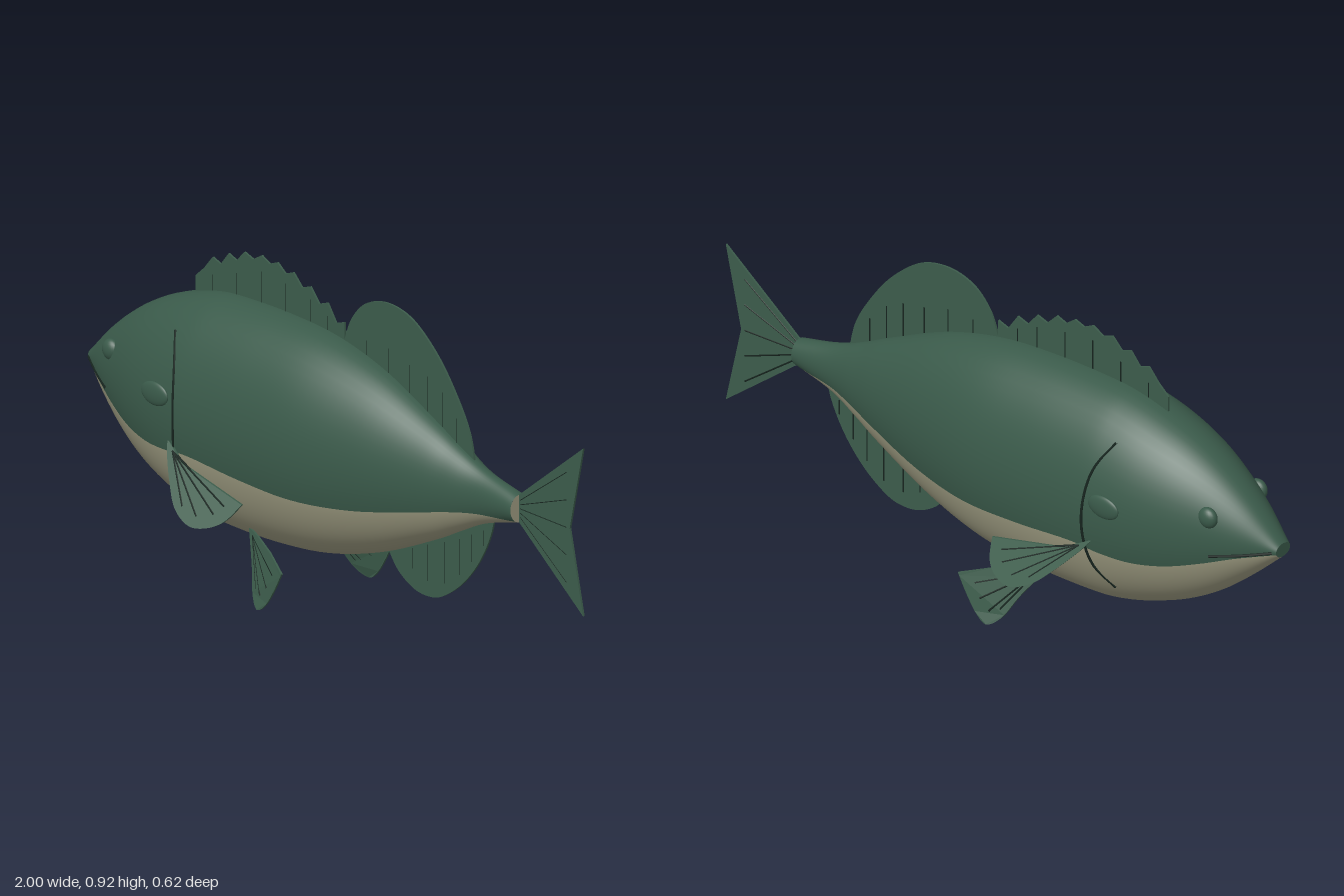
import * as THREE from 'three';

const mat = (name, color, side = THREE.FrontSide) => {
  const m = new THREE.MeshStandardMaterial({ color, side });
  m.name = name;
  return m;
};

// Body stations: x, top, bottom, half width, height of the colour border
const STATIONS = [
  [-1, 0.49, 0.45, 0.03, 0.465], [-0.9, 0.585, 0.36, 0.085, 0.44], [-0.8, 0.66, 0.28, 0.13, 0.405],
  [-0.7, 0.715, 0.22, 0.167, 0.375], [-0.6, 0.752, 0.178, 0.192, 0.36], [-0.5, 0.778, 0.147, 0.205, 0.362],
  [-0.4, 0.789, 0.132, 0.21, 0.37], [-0.2, 0.79, 0.13, 0.208, 0.352], [0, 0.773, 0.15, 0.195, 0.34],
  [0.2, 0.72, 0.205, 0.155, 0.352], [0.4, 0.63, 0.29, 0.1, 0.388], [0.5, 0.58, 0.34, 0.07, 0.408],
  [0.6, 0.538, 0.387, 0.045, 0.422], [0.735, 0.505, 0.425, 0.035, 0.43],
];
const outline = new THREE.CatmullRomCurve3(STATIONS.map(s => new THREE.Vector3(s[0], s[1], s[2])), false, 'catmullrom');
const girth = new THREE.CatmullRomCurve3(STATIONS.map(s => new THREE.Vector3(s[0], s[3], s[4])), false, 'catmullrom');
const RINGS = 78;
const SIDES = 64;
const rings = Array.from({ length: RINGS + 1 }, (_, i) => {
  const a = outline.getPoint(i / RINGS), b = girth.getPoint(i / RINGS);
  return { x: a.x, c: (a.y + a.z) / 2, h: (a.y - a.z) / 2, w: b.y, split: b.z };
});

// Depth of the body's side at a given x and y
function sideZ(x, y) {
  const i = Math.max(1, rings.findIndex(r => r.x >= x));
  const a = rings[i - 1], b = rings[i], t = (x - a.x) / (b.x - a.x);
  const mix = k => a[k] + (b[k] - a[k]) * t;
  const v = (y - mix('c')) / mix('h');
  return mix('w') * Math.sqrt(Math.max(0, 1 - v * v));
}

// Elliptical rings whose first half is the back and second half the belly
function bodyGeometry() {
  const pos = [], back = [], belly = [], half = SIDES / 2;
  for (const r of rings) {
    const s = Math.asin(THREE.MathUtils.clamp((r.split - r.c) / r.h, -0.95, 0.95));
    for (let j = 0; j < SIDES; j++) {
      const th = j < half ? s + (Math.PI - 2 * s) * j / half
        : Math.PI - s + (Math.PI + 2 * s) * (j - half) / half;
      pos.push(r.x, r.c + r.h * Math.sin(th), r.w * Math.cos(th));
    }
  }
  for (let i = 0; i < RINGS; i++) for (let j = 0; j < SIDES; j++) {
    const k = (j + 1) % SIDES, a = i * SIDES + j, b = i * SIDES + k;
    (j < half ? back : belly).push(a, a + SIDES, b, b, a + SIDES, b + SIDES);
  }
  const g = new THREE.BufferGeometry();
  g.setAttribute('position', new THREE.Float32BufferAttribute(pos, 3));
  g.setIndex([...back, ...belly]);
  g.addGroup(0, back.length, 0);
  g.addGroup(back.length, belly.length, 1);
  g.computeVertexNormals();
  return g;
}

const THICK = 0.006;
const flat = () => 0;

// Thin fin: sharp corners first, then an optional smooth rim; offset(x, y) tilts it in depth
function finGeometry(corners, rim, offset = flat) {
  const v = p => new THREE.Vector2(...p);
  const shape = new THREE.Shape(corners.map(v));
  if (rim) shape.splineThru(rim.map(v));
  const g = new THREE.ExtrudeGeometry(shape, { depth: THICK, bevelEnabled: false, curveSegments: 24 });
  g.translate(0, 0, -THICK / 2);
  const p = g.attributes.position;
  for (let i = 0; i < p.count; i++) p.setZ(i, p.getZ(i) + offset(p.getX(i), p.getY(i)));
  g.computeVertexNormals();
  return g;
}

function lineGeometry(points, offset, radius) {
  const curve = new THREE.CatmullRomCurve3(points.map(([x, y]) => new THREE.Vector3(x, y, offset(x, y))));
  return new THREE.TubeGeometry(curve, points.length > 2 ? 28 : 2, radius, 5);
}

export function createModel() {
  const green = mat('backGreen', 0x3a5a4a);
  const cream = mat('bellyCream', 0x9c9a80);
  const finGreen = mat('finGreen', 0x3c5c4b, THREE.DoubleSide);
  const dark = mat('darkLines', 0x17251f);
  const model = new THREE.Group();
  model.name = 'fish';
  const add = (name, geometry, material, parent = model) => {
    const m = new THREE.Mesh(geometry, material);
    m.name = name;
    parent.add(m);
    return m;
  };

  // Body with closed ends
  add('body', bodyGeometry(), [green, cream]);
  for (const [name, r, dir, m] of [['snoutTip', rings[0], -1, green], ['tailStump', rings[RINGS], 1, cream]]) {
    const cap = add(name, new THREE.CircleGeometry(1, 32), m);
    cap.scale.set(r.w, r.h, 1);
    cap.rotation.y = dir * Math.PI / 2;
    cap.position.set(r.x, r.c, 0);
  }

  // Fin plus its rays, each ray a pair of end points
  function addFin(name, corners, rim, rays, offset = flat) {
    const group = new THREE.Group();
    group.name = name;
    model.add(group);
    add(name + 'Web', finGeometry(corners, rim, offset), finGreen, group);
    for (const ray of rays) add(name + 'Ray', lineGeometry(ray, offset, 0.0038), dark, group);
  }
  const upright = (xs, y0, y1) => xs.map((x, i) => [[x, y0(i)], [x, y1(i)]]);

  // Spiny front dorsal fin with a saw-tooth edge
  const peaks = [[-0.52, 0.87], [-0.455, 0.897], [-0.39, 0.918], [-0.32, 0.926], [-0.255, 0.922],
    [-0.19, 0.91], [-0.12, 0.887], [-0.05, 0.858], [0.02, 0.82]];
  const saw = [[-0.59, 0.8]];
  peaks.forEach((p, i) => {
    const q = i ? peaks[i - 1] : saw[0];
    saw.push([(p[0] + q[0]) / 2, Math.min(p[1], q[1]) - (i ? 0.012 : -0.03)], p);
  });
  addFin('spinyDorsalFin', [[0.02, 0.72], [-0.59, 0.7], ...saw], null,
    upright([-0.52, -0.42, -0.32, -0.22, -0.12, -0.05], () => 0.75, i => [0.82, 0.85, 0.88, 0.87, 0.85, 0.82][i]));

  // Rounded rear dorsal fin
  addFin('softDorsalFin', [[0.56, 0.5], [0.3, 0.6], [0.02, 0.7], [0.02, 0.77]],
    [[0.05, 0.84], [0.11, 0.898], [0.2, 0.92], [0.3, 0.897], [0.4, 0.82], [0.48, 0.72], [0.535, 0.62], [0.56, 0.5]],
    upright([0.11, 0.2, 0.285, 0.36, 0.42, 0.48], i => 0.72 - i * 0.03, i => [0.79, 0.79, 0.765, 0.75, 0.72, 0.66][i]));

  // Anal fin
  addFin('analFin', [[0.64, 0.45], [0.4, 0.36], [0.2, 0.25], [0.2, 0.21]],
    [[0.24, 0.16], [0.3, 0.125], [0.36, 0.116], [0.42, 0.13], [0.5, 0.185], [0.57, 0.265], [0.62, 0.36], [0.64, 0.45]],
    upright([0.3, 0.36, 0.43, 0.49, 0.54, 0.59], i => 0.24 + i * 0.025, i => [0.18, 0.16, 0.17, 0.21, 0.26, 0.32][i]));

  // Forked tail fin
  addFin('tailFin', [[0.71, 0.43], [0.735, 0.425], [0.997, 0.22], [0.942, 0.46], [0.997, 0.705], [0.735, 0.505], [0.71, 0.5]], null,
    [[0.62, 0.49], [0.54, 0.477], [0.46, 0.465], [0.38, 0.453], [0.3, 0.44]].map(([end, start]) => [[0.74, start], [0.93, end]]));

  for (const s of [1, -1]) {
    const side = s > 0 ? 'Right' : 'Left';
    const onBody = (x, y) => s * sideZ(x, y);

    // Paired fins, tilted out from the body
    addFin('pectoralFin' + side, [[-0.46, 0.365], [-0.485, 0.4], [-0.4, 0.355], [-0.15, 0.3]],
      [[-0.175, 0.255], [-0.22, 0.23], [-0.28, 0.225], [-0.35, 0.255], [-0.41, 0.31], [-0.46, 0.365]],
      [[-0.2, 0.285], [-0.22, 0.262], [-0.27, 0.248], [-0.33, 0.262]].map(e => [[-0.45, 0.375], e]),
      (x, y) => s * (0.2 + 0.8 * (0.395 - y) - 0.154 * (x + 0.48)));
    addFin('pelvicFin' + side, [[-0.25, 0.185], [-0.19, 0.178], [-0.1, 0.16], [-0.01, 0.13]],
      [[-0.04, 0.075], [-0.075, 0.025], [-0.11, 0.003], [-0.15, 0.03], [-0.19, 0.1], [-0.25, 0.185]],
      [[-0.06, 0.11], [-0.08, 0.07], [-0.11, 0.04], [-0.14, 0.05]].map(e => [[-0.22, 0.17], e]),
      (x, y) => s * Math.min(0.205, 0.11 + 0.271 * (0.18 - y) + 0.339 * (x + 0.25)));

    // Eye and gill-cover spot
    const eye = add('eye' + side, new THREE.SphereGeometry(0.031, 20, 14), green);
    eye.position.set(-0.82, 0.55, onBody(-0.82, 0.55) * 0.97);
    eye.scale.z = 0.65;
    const spot = add('gillSpot' + side, new THREE.SphereGeometry(1, 24, 14), green);
    spot.position.set(-0.53, 0.52, s * 0.206);
    spot.scale.set(0.054, 0.034, 0.011);

    // Gill slit and mouth line
    add('gillSlit' + side, lineGeometry([[-0.52, 0.69], [-0.475, 0.61], [-0.455, 0.5], [-0.456, 0.4],
      [-0.475, 0.31], [-0.52, 0.24]], onBody, 0.0045), dark);
    add('mouthLine' + side, lineGeometry([[-0.99, 0.47], [-0.91, 0.452], [-0.83, 0.437]], onBody, 0.0045), dark);
  }
  return model;
}
